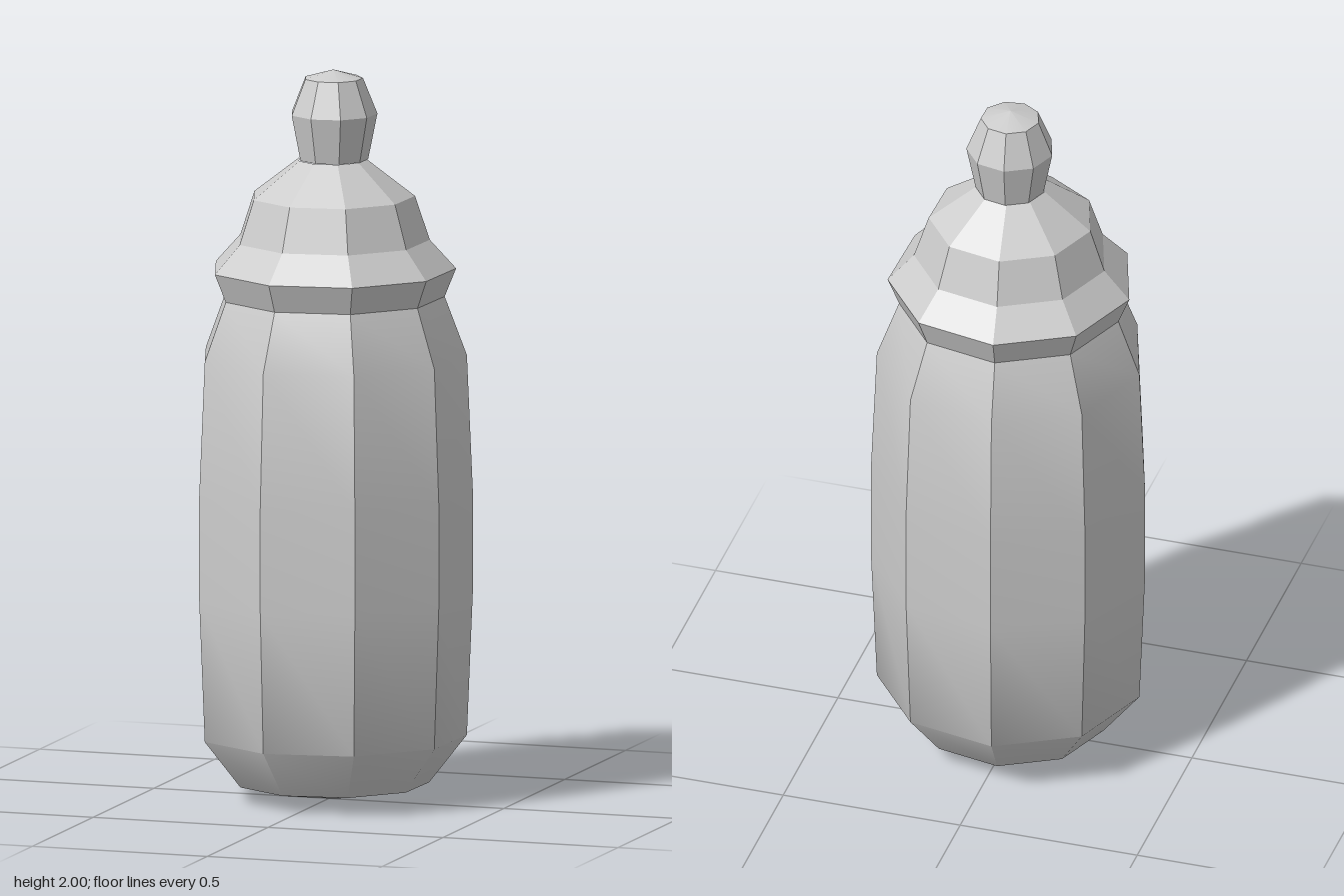
import * as THREE from 'three';
import { toCreasedNormals } from 'three/addons/utils/BufferGeometryUtils.js';

const SIDES = 9;
const START = THREE.MathUtils.degToRad(-91.5); // turns the corners into place

const grey = new THREE.MeshStandardMaterial({ color: 0xcccccc });
grey.name = 'grey';

// Nine-sided lathe from [radius, height] pairs, bottom to top
function turned(name, profile, creaseDegrees) {
  const points = profile.map(([r, y]) => new THREE.Vector2(r, y));
  const lathe = new THREE.LatheGeometry(points, SIDES, START);
  const geometry = toCreasedNormals(lathe, THREE.MathUtils.degToRad(creaseDegrees));
  const mesh = new THREE.Mesh(geometry, grey);
  mesh.name = name;
  mesh.position.x = 0.009;
  return mesh;
}

export function createModel() {
  const group = new THREE.Group();
  group.name = 'babyBottle';

  // Bottle with a shallow pointed underside, smooth up each facet
  group.add(turned('bottleBody', [
    [0, 0.005], [0.262, 0.05], [0.364, 0.18], [0.38, 0.57],
    [0.38, 0.85], [0.364, 1.22], [0.304, 1.38],
  ], 37));

  // Flared collar and stepped shoulder, faceted
  group.add(turned('collar', [[0.304, 1.38], [0.335, 1.457]], 5));
  group.add(turned('capShoulder', [
    [0.335, 1.457], [0.264, 1.535], [0.224, 1.655], [0.094, 1.755],
  ], 5));

  // Teat with a softly domed tip
  const teat = turned('teat', [
    [0.094, 1.755], [0.119, 1.88], [0.08, 1.977], [0, 2],
  ], 18);
  teat.position.set(0.011, 0, -0.005);
  group.add(teat);

  return group;
}
